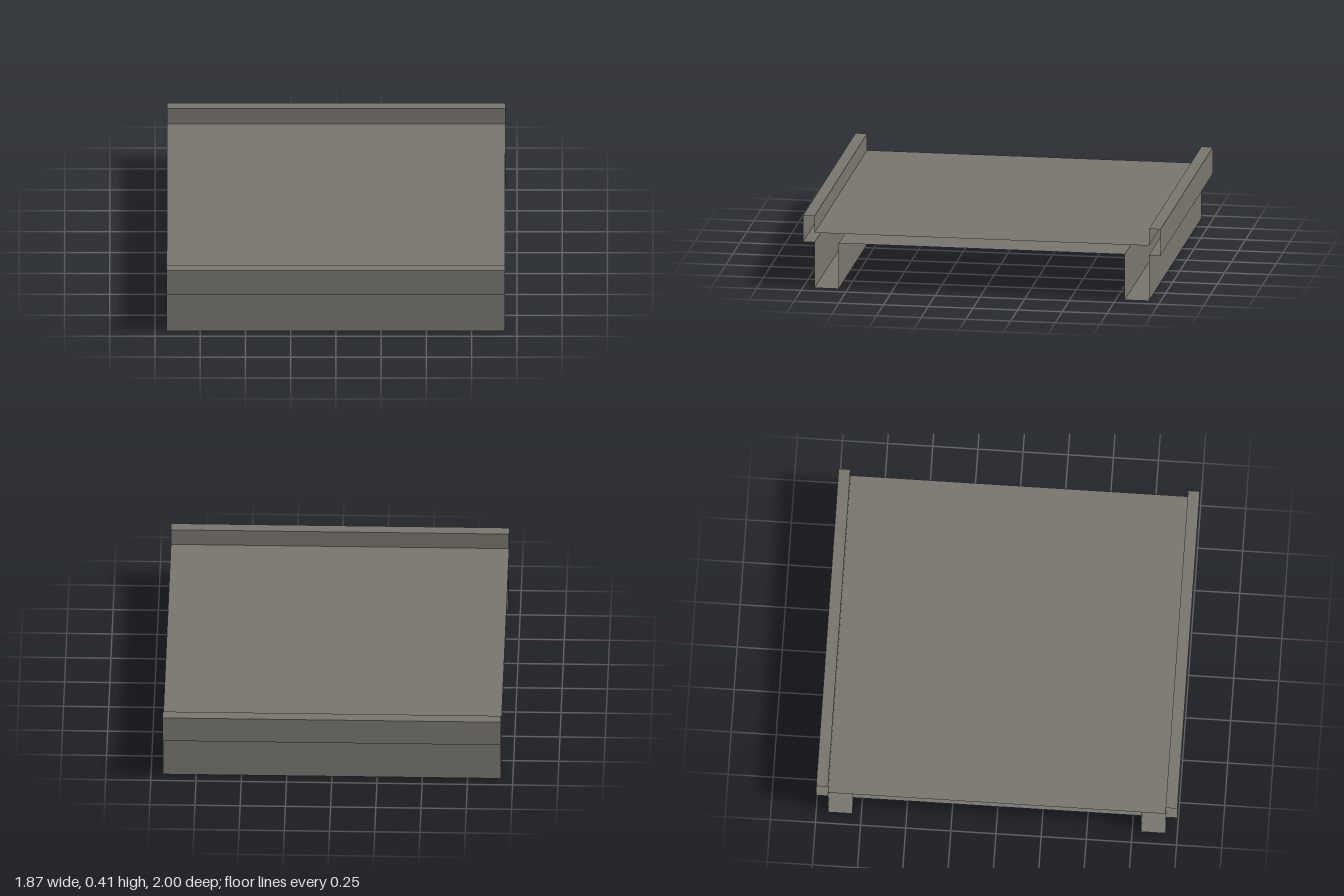
import * as THREE from 'three';

const HALF_LENGTH = 0.935; // extent along x, ends left open

// Folds a thin sheet along a [z, y] path and sweeps it along x with sharp edges.
function foldedSheet(name, path, material) {
  const positions = [];
  for (let i = 0; i < path.length - 1; i++) {
    const [za, ya] = path[i];
    const [zb, yb] = path[i + 1];
    const a = [-HALF_LENGTH, ya, za];
    const b = [HALF_LENGTH, ya, za];
    const c = [HALF_LENGTH, yb, zb];
    const d = [-HALF_LENGTH, yb, zb];
    positions.push(...a, ...b, ...c, ...a, ...c, ...d);
  }
  const geometry = new THREE.BufferGeometry();
  geometry.setAttribute('position', new THREE.Float32BufferAttribute(positions, 3));
  geometry.computeVertexNormals();
  const mesh = new THREE.Mesh(geometry, material);
  mesh.name = name;
  return mesh;
}

// Reflects a path to the back while keeping its faces outward.
const mirrored = (path) => path.map(([z, y]) => [-z, y]).reverse();

export function createModel() {
  const model = new THREE.Group();
  model.name = 'bridgeDeckSection';
  const concrete = new THREE.MeshStandardMaterial({ color: 0x78756d, side: THREE.DoubleSide });
  concrete.name = 'warm grey concrete';

  const outer = 1, curbInner = 0.935, girderInner = 0.8;
  const top = 0.41, deckTop = 0.315, deckBottom = 0.26;

  // Slab: upper roadway and lower soffit
  model.add(foldedSheet('roadway', [[curbInner, deckTop], [-curbInner, deckTop]], concrete));
  model.add(foldedSheet('soffit', [[-girderInner, deckBottom], [girderInner, deckBottom]], concrete));

  // Raised edge curb, overhanging the girder
  const curb = [[curbInner, deckBottom], [outer, deckBottom], [outer, top], [curbInner, top], [curbInner, deckTop]];
  // Hollow support girder under each edge
  const girder = [[girderInner, deckBottom], [girderInner, 0], [curbInner, 0], [curbInner, deckBottom]];

  model.add(foldedSheet('frontCurb', curb, concrete));
  model.add(foldedSheet('backCurb', mirrored(curb), concrete));
  model.add(foldedSheet('frontGirder', girder, concrete));
  model.add(foldedSheet('backGirder', mirrored(girder), concrete));

  return model;
}
